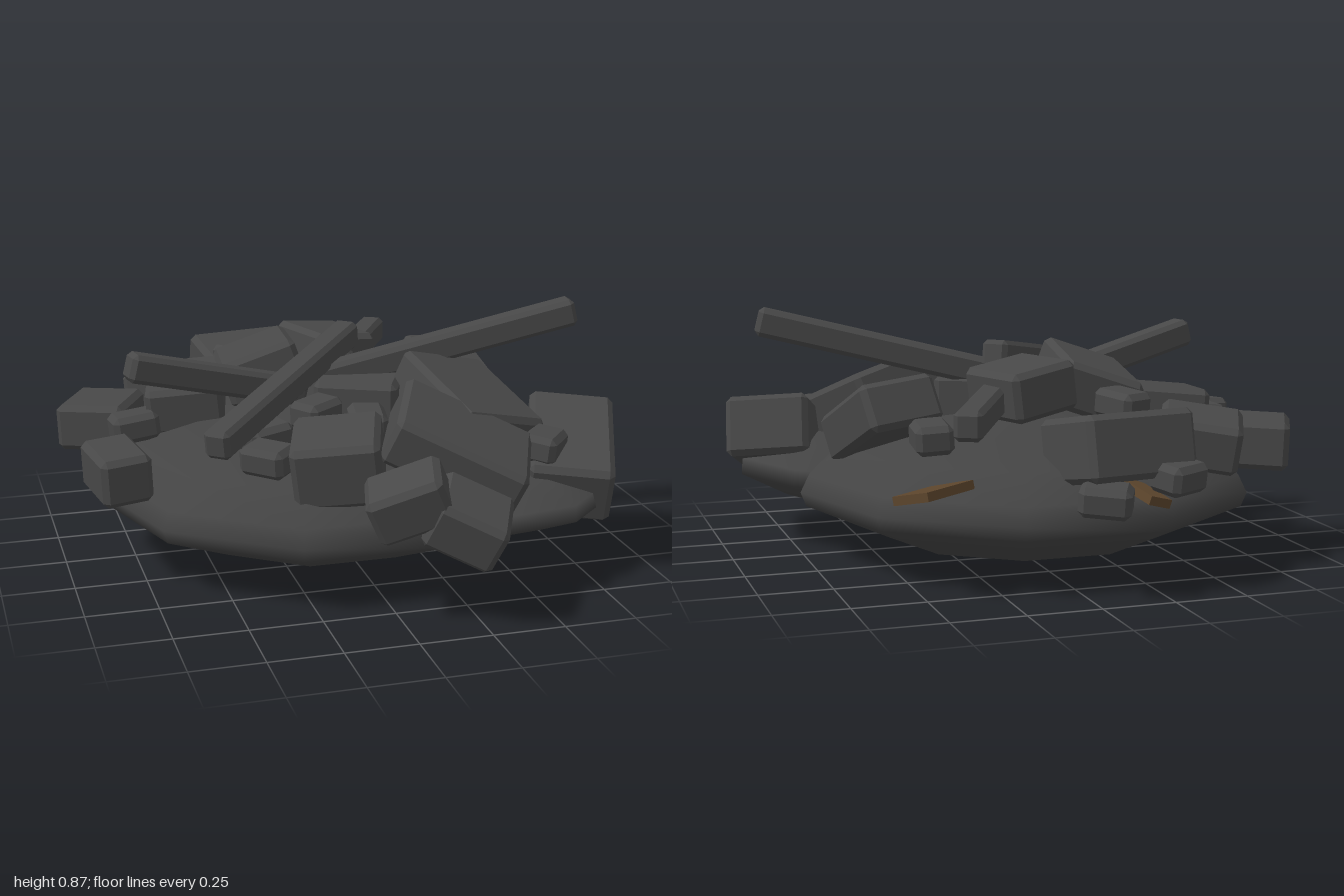
import * as THREE from 'three';
import { ConvexGeometry } from 'three/addons/geometries/ConvexGeometry.js';

const charcoal = new THREE.MeshStandardMaterial({ color: 0x484848 });
charcoal.name = 'charcoal stone';
const ash = new THREE.MeshStandardMaterial({ color: 0x444444 });
ash.name = 'ash';
const wood = new THREE.MeshStandardMaterial({ color: 0x5c452c });
wood.name = 'scorched wood';

const rad = THREE.MathUtils.degToRad;
const UP = new THREE.Vector3(0, 1, 0);

// Box with all edges cut by c
function chamferBox(w, h, d, c) {
  const pts = [];
  for (const x of [-1, 1]) for (const y of [-1, 1]) for (const z of [-1, 1]) {
    for (let axis = 0; axis < 3; axis++) {
      const p = [w / 2 - c, h / 2 - c, d / 2 - c];
      p[axis] += c;
      pts.push(new THREE.Vector3(x * p[0], y * p[1], z * p[2]));
    }
  }
  return new ConvexGeometry(pts);
}

// Smooth faceted mound turned from a profile of [radius, height]
function mound(profile, sides, name) {
  const pts = profile.map(([r, y]) => new THREE.Vector2(r, y));
  const mesh = new THREE.Mesh(new THREE.LatheGeometry(pts, sides), ash);
  mesh.name = name;
  return mesh;
}

// Part turned by yaw, pitch and roll in degrees
function part(geometry, material, name, x, y, z, yaw, pitch, roll) {
  const mesh = new THREE.Mesh(geometry, material);
  mesh.name = name;
  mesh.position.set(x, y, z);
  mesh.rotation.set(rad(pitch), rad(yaw), rad(roll), 'YXZ');
  return mesh;
}

// Beam laid from one end to the other
function beam(from, to, name) {
  const a = new THREE.Vector3(...from), b = new THREE.Vector3(...to);
  const d = b.clone().sub(a), length = d.length();
  const mesh = new THREE.Mesh(chamferBox(length, 0.1, 0.095, 0.016), charcoal);
  mesh.name = name;
  mesh.position.copy(a).lerp(b, 0.5);
  mesh.rotateOnAxis(UP, Math.atan2(-d.z, d.x)).rotateZ(Math.asin(d.y / length));
  return mesh;
}

export function createModel() {
  const model = new THREE.Group();
  model.name = 'rubblePile';

  // Ash mounds
  const main = mound([[0, 0], [0.5, 0.055], [0.8, 0.19], [0.82, 0.24], [0.79, 0.3], [0.68, 0.39], [0.45, 0.46], [0, 0.52]], 10, 'mainMound');
  main.position.set(-0.05, 0, -0.07);
  main.rotation.y = rad(-18);
  const side = mound([[0, -0.13], [0.24, -0.11], [0.42, -0.03], [0.42, 0.03], [0.24, 0.11], [0, 0.13]], 9, 'sideMound');
  side.position.set(0.51, 0.26, 0.31);
  side.rotation.set(0, rad(20), rad(4), 'ZYX');
  model.add(main, side);

  // Slabs of one thickness: x, y, z, width, depth, yaw, pitch, roll
  const slabs = [
    [0.27, 0.5, 0.57, 0.48, 0.38, -23, 8, -25],
    [0.02, 0.42, 0.82, 0.26, 0.2, -15, 12, 22],
    [0.21, 0.34, 0.85, 0.25, 0.25, -25, 12, -25],
    [0.42, 0.54, 0.23, 0.37, 0.45, 15, 18, -15],
    [0.51, 0.51, -0.2, 0.28, 0.39, 12, 25, -6],
    [0.06, 0.62, -0.38, 0.27, 0.29, 20, 0, -8],
    [-0.52, 0.45, -0.57, 0.28, 0.25, -25, -10, 8],
    [-0.8, 0.4, -0.41, 0.26, 0.28, -27, 0, 2],
    [-0.83, 0.39, 0.18, 0.18, 0.26, 10, 3, 3],
    [-0.5, 0.51, -0.27, 0.28, 0.37, -12, 4, 5],
    [-0.23, 0.61, -0.24, 0.29, 0.43, -8, -6, 19],
    [0.08, 0.54, 0.04, 0.3, 0.25, -25, 0, 0],
  ];
  slabs.forEach(([x, y, z, w, d, yaw, pitch, roll], i) => {
    model.add(part(chamferBox(w, 0.17, d, 0.02), charcoal, `slab${i + 1}`, x, y, z, yaw, pitch, roll));
  });

  // Thicker blocks
  model.add(
    part(chamferBox(0.3, 0.22, 0.3, 0.02), charcoal, 'frontBlock', -0.13, 0.47, 0.51, -18, 8, 6),
    part(chamferBox(0.3, 0.22, 0.47, 0.02), charcoal, 'leftBlock', 0.76, 0.37, 0.38, -22, 20, -4),
    part(chamferBox(0.4, 0.22, 0.34, 0.02), charcoal, 'backBlock', -0.16, 0.46, -0.72, 9, 11, 0),
  );

  // Small stones of one size, sloping gently outwards: x, y, z, yaw
  const stones = [
    [0.4, 0.48, -0.45, 85],
    [0.62, 0.45, 0.48, 50],
    [0.4, 0.54, -0.04, 18],
    [-0.31, 0.38, -0.87, 28],
    [-0.04, 0.33, -0.92, -27],
    [-0.25, 0.57, -0.53, -65],
    [-0.72, 0.45, -0.13, 6],
    [-0.36, 0.48, 0.46, -45],
    [-0.32, 0.49, 0.25, 20],
    [-0.12, 0.54, 0.18, 35],
    [0.02, 0.54, 0.34, 80],
  ];
  const stone = chamferBox(0.17, 0.1, 0.13, 0.02);
  stones.forEach(([x, y, z, yaw], i) => {
    const mesh = part(stone, charcoal, `stone${i + 1}`, x, y, z, yaw, 0, 0);
    mesh.rotateOnWorldAxis(new THREE.Vector3(z, 0, -x).normalize(), rad(8) * Math.hypot(x, z));
    model.add(mesh);
  });

  // Fallen beams
  model.add(
    beam([-0.56, 0.57, 0.56], [0.11, 0.72, -0.22], 'frontBeam'),
    beam([-0.05, 0.6, -0.04], [0.88, 0.83, 0.1], 'leftBeam'),
    beam([-0.77, 0.74, 0.12], [-0.12, 0.57, 0], 'rightBeam'),
    beam([0.39, 0.57, -0.83], [0.07, 0.6, -0.22], 'backBeam'),
  );

  // Plank ends sticking out at the back
  model.add(
    part(new THREE.BoxGeometry(0.25, 0.03, 0.14), wood, 'leftPlank', 0.46, 0.34, -0.69, 38, 12, 0),
    part(new THREE.BoxGeometry(0.08, 0.03, 0.2), wood, 'rightPlank', -0.2, 0.33, -0.85, 8, -8, 15),
  );

  return model;
}
